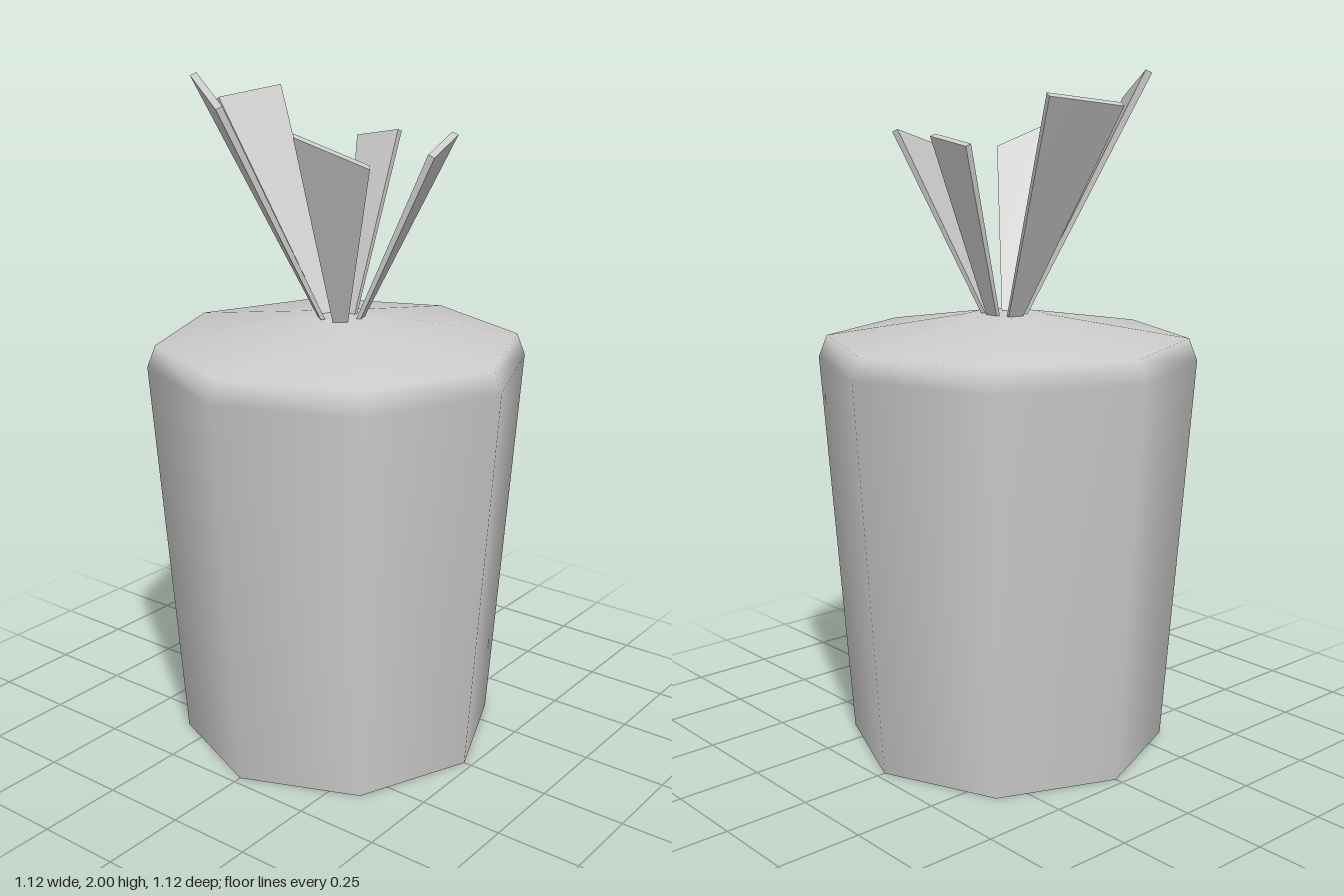
import * as THREE from 'three';

const material = new THREE.MeshStandardMaterial({ color: 0xcccccc });
const SIDES = 8;
const LEAF_THICKNESS = 0.02;

// Each leaf: two corners at the root, two at the tip (left then right, seen from the axis)
const LEAVES = [
  { name: 'backLeaf', root: [[0, 1.3, -0.055], [0.035, 1.3, -0.045]], tip: [[-0.035, 1.91, -0.42], [0.185, 1.935, -0.365]] },
  { name: 'backRightLeaf', root: [[-0.05, 1.3, -0.01], [-0.03, 1.3, -0.035]], tip: [[-0.335, 1.925, -0.135], [-0.245, 2, -0.31]] },
  { name: 'frontRightLeaf', root: [[-0.03, 1.3, 0.05], [-0.055, 1.3, 0.025]], tip: [[-0.165, 1.78, 0.23], [-0.325, 1.87, 0.1]] },
  { name: 'frontLeftLeaf', root: [[0.04, 1.3, 0.045], [0.01, 1.3, 0.055]], tip: [[0.205, 1.835, 0.245], [0.042, 1.79, 0.275]] },
  { name: 'leftLeaf', root: [[0.045, 1.3, -0.02], [0.045, 1.3, 0.02]], tip: [[0.218, 1.8, -0.1], [0.23, 1.825, 0.04]] },
];

// A thin box whose corners are moved to the leaf outline, thickened away from the axis
function makeLeaf({ name, root, tip }) {
  const [r0, r1, t0, t1] = [...root, ...tip].map((p) => new THREE.Vector3(...p));
  const along = t0.clone().add(t1).sub(r0).sub(r1);
  const inward = t1.clone().sub(t0).cross(along).normalize();
  // Sink the root slightly into the body
  for (const r of [r0, r1]) r.addScaledVector(along, -0.02);

  const geometry = new THREE.BoxGeometry(1, 1, 1);
  const pos = geometry.attributes.position;
  for (let i = 0; i < pos.count; i++) {
    const right = pos.getX(i) > 0;
    const top = pos.getY(i) > 0;
    const corner = (top ? (right ? t1 : t0) : (right ? r1 : r0)).clone();
    if (pos.getZ(i) < 0) corner.addScaledVector(inward, -(top ? LEAF_THICKNESS : LEAF_THICKNESS * 0.6));
    pos.setXYZ(i, corner.x, corner.y, corner.z);
  }
  geometry.computeVertexNormals();
  const leaf = new THREE.Mesh(geometry, material);
  leaf.name = name;
  return leaf;
}

export function createModel() {
  const model = new THREE.Group();
  model.name = 'rootVegetable';

  // Tapered eight-sided body with a bevelled shoulder and a shallow crown
  const profile = [[0.475, 0], [0.56, 1.17], [0.535, 1.235], [0.12, 1.303], [0, 1.305]]
    .map(([r, y]) => new THREE.Vector2(r, y));
  const body = new THREE.Mesh(new THREE.LatheGeometry(profile, SIDES), material);
  body.name = 'body';
  model.add(body);

  // Flat underside
  const base = new THREE.Mesh(new THREE.CircleGeometry(0.475, SIDES).rotateX(Math.PI / 2), material);
  base.name = 'base';
  model.add(base);

  // Ring of flaring leaves
  const leaves = new THREE.Group();
  leaves.name = 'leaves';
  leaves.add(...LEAVES.map(makeLeaf));
  model.add(leaves);

  return model;
}
